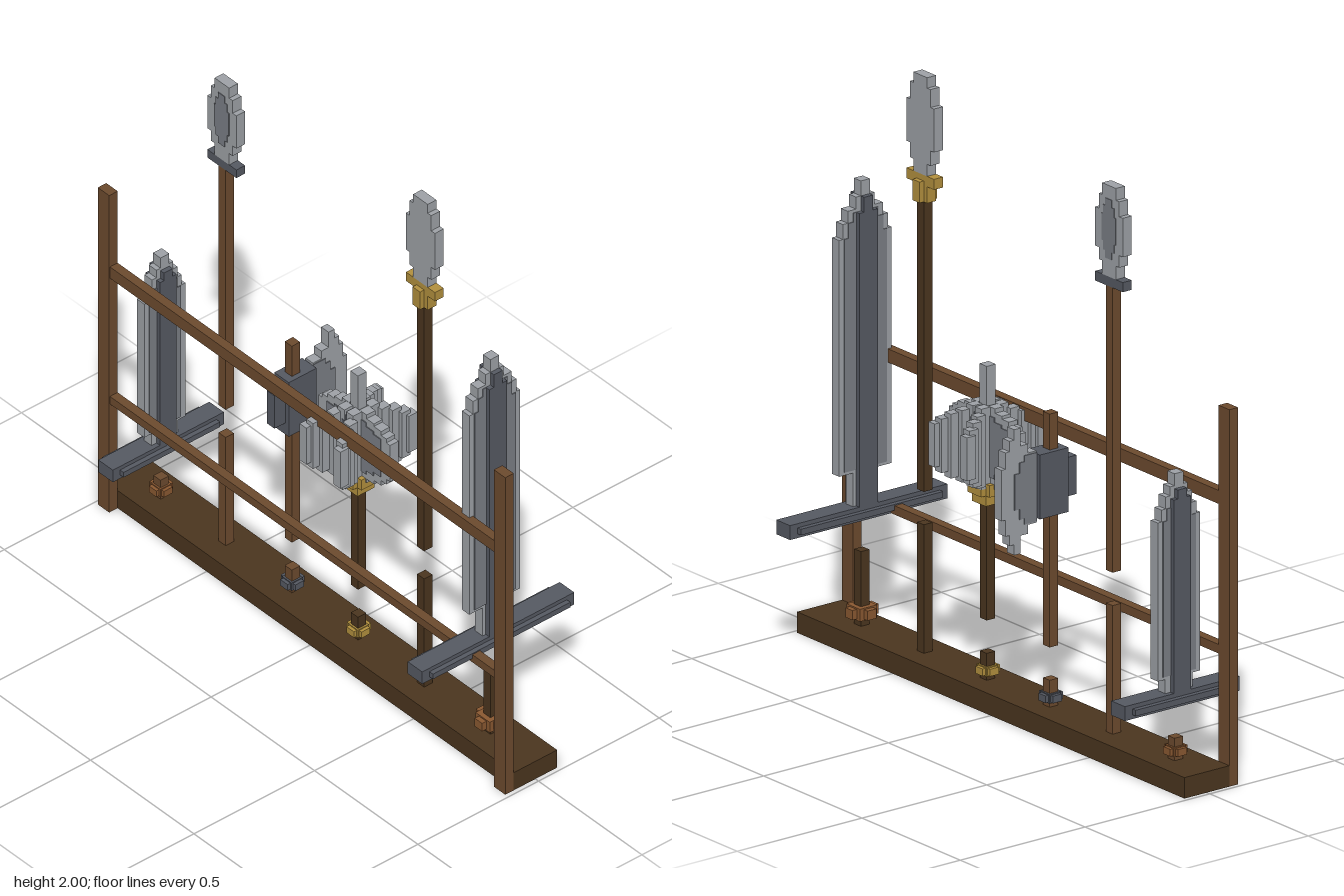
import * as THREE from 'three';

const mat = (name, color) => {
  const m = new THREE.MeshStandardMaterial({ color });
  m.name = name;
  return m;
};

export function createModel() {
  const wood = mat('wood', 0x6e4c2f), darkWood = mat('dark wood', 0x4c361f);
  const light = mat('light steel', 0xa0a4a9), mid = mat('mid steel', 0x7c8087);
  const dark = mat('dark steel', 0x575b64);
  const gold = mat('gold', 0xb5923f), copper = mat('copper', 0x8c5a32);

  const root = new THREE.Group();
  root.name = 'weaponRack';
  const group = (name, x) => {
    const g = new THREE.Group();
    g.name = name;
    g.position.x = x;
    root.add(g);
    return g;
  };
  // box from min/max extents
  const box = (g, name, m, x0, x1, y0, y1, z0, z1) => {
    const mesh = new THREE.Mesh(new THREE.BoxGeometry(x1 - x0, y1 - y0, z1 - z0), m);
    mesh.position.set((x0 + x1) / 2, (y0 + y1) / 2, (z0 + z1) / 2);
    mesh.name = name;
    g.add(mesh);
  };
  // box centred on the weapon axis, with half widths
  const block = (g, name, m, hx, hz, y0, y1) => box(g, name, m, -hx, hx, y0, y1, -hz, hz);
  // stepped flat plate: rows of [half width, bottom, top]
  const stack = (g, name, m, rows, thick, alongZ) => {
    for (const [w, y0, y1] of rows) block(g, name, m, alongZ ? thick : w, alongZ ? w : thick, y0, y1);
  };
  // plus-shaped pommel around a stub
  const pommel = (g, m, y, r, h) => {
    block(g, 'pommel', m, r, 0.018, y - h, y + h);
    block(g, 'pommel', m, 0.018, r, y - h, y + h);
    block(g, 'pommelCore', m, r * 0.66, r * 0.66, y - h * 1.3, y + h * 1.3);
  };

  // rack
  const rack = group('rack', 0);
  box(rack, 'base', darkWood, -0.985, 0.985, 0, 0.07, -0.09, 0.09);
  for (const s of [-1, 1])
    box(rack, 'post', wood, s * 0.9575 - 0.0275, s * 0.9575 + 0.0275, 0, 1.26, 0.09, 0.125);
  box(rack, 'topRail', wood, -0.93, 0.93, 0.93, 0.975, 0.09, 0.122);
  box(rack, 'lowerRail', wood, -0.93, 0.93, 0.43, 0.46, 0.09, 0.122);

  // swords, with blades lying in the yz plane
  const sword = (name, x, o) => {
    const g = group(name, x);
    block(g, 'gripEnd', o.grip, 0.017, 0.017, 0.07, o.gripTop);
    pommel(g, copper, o.pommelY, o.pommelR, o.pommelH);
    const y = o.guardY;
    block(g, 'guard', dark, 0.035, o.guardZ, y, y + 0.048);
    block(g, 'guardRidge', dark, 0.052, o.guardZ - 0.03, y + 0.014, y + 0.034);
    stack(g, 'blade', light, o.blade, 0.018, true);
    stack(g, 'bladeFace', mid, o.face, 0.021, true);
    stack(g, 'fuller', dark, o.fuller, 0.035, true);
  };
  sword('shortSword', -0.825, {
    grip: wood, gripTop: 0.145, pommelY: 0.1, pommelR: 0.035, pommelH: 0.012,
    guardY: 0.255, guardZ: 0.23,
    blade: [[0.055, 0.3, 0.35], [0.085, 0.35, 0.88], [0.07, 0.88, 0.92], [0.053, 0.92, 0.96],
      [0.035, 0.96, 0.99], [0.018, 0.99, 1.03]],
    face: [[0.065, 0.36, 0.88], [0.05, 0.88, 0.92]],
    fuller: [[0.034, 0.3, 0.95], [0.018, 0.95, 0.98]],
  });
  sword('greatSword', 0.77, {
    grip: darkWood, gripTop: 0.32, pommelY: 0.115, pommelR: 0.052, pommelH: 0.016,
    guardY: 0.43, guardZ: 0.315,
    blade: [[0.05, 0.478, 0.6], [0.105, 0.59, 1.38], [0.09, 1.38, 1.43], [0.07, 1.43, 1.47],
      [0.037, 1.47, 1.51], [0.018, 1.51, 1.56]],
    face: [[0.085, 0.6, 1.38], [0.07, 1.38, 1.43], [0.05, 1.43, 1.46]],
    fuller: [[0.037, 0.478, 1.46], [0.018, 1.46, 1.51]],
  });

  // spears
  const spear = (name, x, wood_, top, headY, rows) => {
    const g = group(name, x);
    block(g, 'lowerShaft', wood_, 0.017, 0.017, 0.07, 0.5);
    block(g, 'upperShaft', wood_, 0.017, 0.017, 0.61, top);
    stack(g, 'spearHead', light, rows.map(([w, a, b]) => [w, headY + a, headY + b]), 0.018, false);
    return g;
  };
  const s1 = spear('spear', -0.51, wood, 1.565, 1.595, [[0.035, 0, 0.045], [0.052, 0.045, 0.085],
    [0.07, 0.085, 0.215], [0.052, 0.215, 0.265], [0.035, 0.265, 0.305]]);
  block(s1, 'collar', dark, 0.07, 0.018, 1.563, 1.595);
  stack(s1, 'headInlay', mid, [[0.016, 1.655, 1.68], [0.028, 1.68, 1.71], [0.036, 1.71, 1.8],
    [0.028, 1.8, 1.83], [0.016, 1.83, 1.855]], 0.0205, false);
  const s2 = spear('gildedSpear', 0.45, darkWood, 1.58, 1.67, [[0.035, 0, 0.04], [0.052, 0.04, 0.09],
    [0.07, 0.09, 0.235], [0.052, 0.235, 0.295], [0.035, 0.295, 0.33]]);
  block(s2, 'crossCollar', gold, 0.07, 0.018, 1.635, 1.67);
  block(s2, 'socket', gold, 0.035, 0.018, 1.58, 1.636);
  block(s2, 'socket', gold, 0.018, 0.035, 1.58, 1.65);

  // axe, blade towards the back
  const axe = group('axe', -0.19);
  block(axe, 'gripEnd', wood, 0.017, 0.017, 0.07, 0.16);
  pommel(axe, dark, 0.1, 0.035, 0.012);
  block(axe, 'shaft', wood, 0.017, 0.017, 0.27, 1.05);
  box(axe, 'headSocket', dark, -0.035, 0.035, 0.715, 0.93, -0.07, 0.045);
  box(axe, 'poll', dark, -0.018, 0.018, 0.76, 0.89, 0.045, 0.09);
  // crescent columns: [back z, front z, bottom, top]
  for (const [a, b, y0, y1] of [[-0.105, -0.07, 0.7, 0.94], [-0.135, -0.105, 0.67, 0.97],
    [-0.16, -0.135, 0.61, 1.03], [-0.178, -0.16, 0.645, 0.995], [-0.195, -0.178, 0.68, 0.96],
    [-0.21, -0.195, 0.735, 0.905]])
    box(axe, 'axeBlade', light, -0.018, 0.018, y0, y1, a, b);
  for (const [a, b, h] of [[-0.12, -0.07, 0.115], [-0.14, -0.12, 0.095], [-0.16, -0.14, 0.06]])
    box(axe, 'axeFace', mid, -0.021, 0.021, 0.82 - h, 0.82 + h, a, b);

  // six-flanged mace
  const mace = group('mace', 0.13);
  block(mace, 'gripEnd', darkWood, 0.017, 0.017, 0.07, 0.16);
  pommel(mace, gold, 0.1, 0.035, 0.012);
  block(mace, 'shaft', darkWood, 0.017, 0.017, 0.27, 0.66);
  block(mace, 'collar', gold, 0.035, 0.035, 0.66, 0.7);
  block(mace, 'collar', gold, 0.054, 0.035, 0.695, 0.735);
  block(mace, 'collar', gold, 0.035, 0.054, 0.695, 0.735);
  block(mace, 'core', dark, 0.036, 0.05, 0.735, 0.97);
  block(mace, 'core', dark, 0.018, 0.056, 0.78, 0.95);
  block(mace, 'topSpike', light, 0.018, 0.018, 0.97, 1.12);
  // radial steps: [inner, outer, bottom, top]
  const steps = [[0.025, 0.06, 0.72, 0.99], [0.06, 0.095, 0.735, 0.975], [0.095, 0.13, 0.75, 0.965],
    [0.13, 0.155, 0.77, 0.95], [0.155, 0.173, 0.79, 0.935]];
  for (const sx of [-1, 1]) {
    for (const [a, b, y0, y1] of steps) {
      const c = sx * (a + b) / 2, h = (b - a) / 2;
      box(mace, 'sideFlange', light, c - h, c + h, y0, y1, -0.018, 0.018);
      if (b < 0.14) box(mace, 'flangeFace', mid, c - h, c + h, y0 + 0.035, y1 - 0.03, -0.021, 0.021);
      for (const sz of [-1, 1]) {
        const x = c * 0.5, z = sz * (a + b) / 2 * 0.866;
        box(mace, 'diagonalFlange', light, x - 0.016, x + 0.016, y0, y1, z - 0.018, z + 0.018);
      }
    }
  }
  return root;
}
